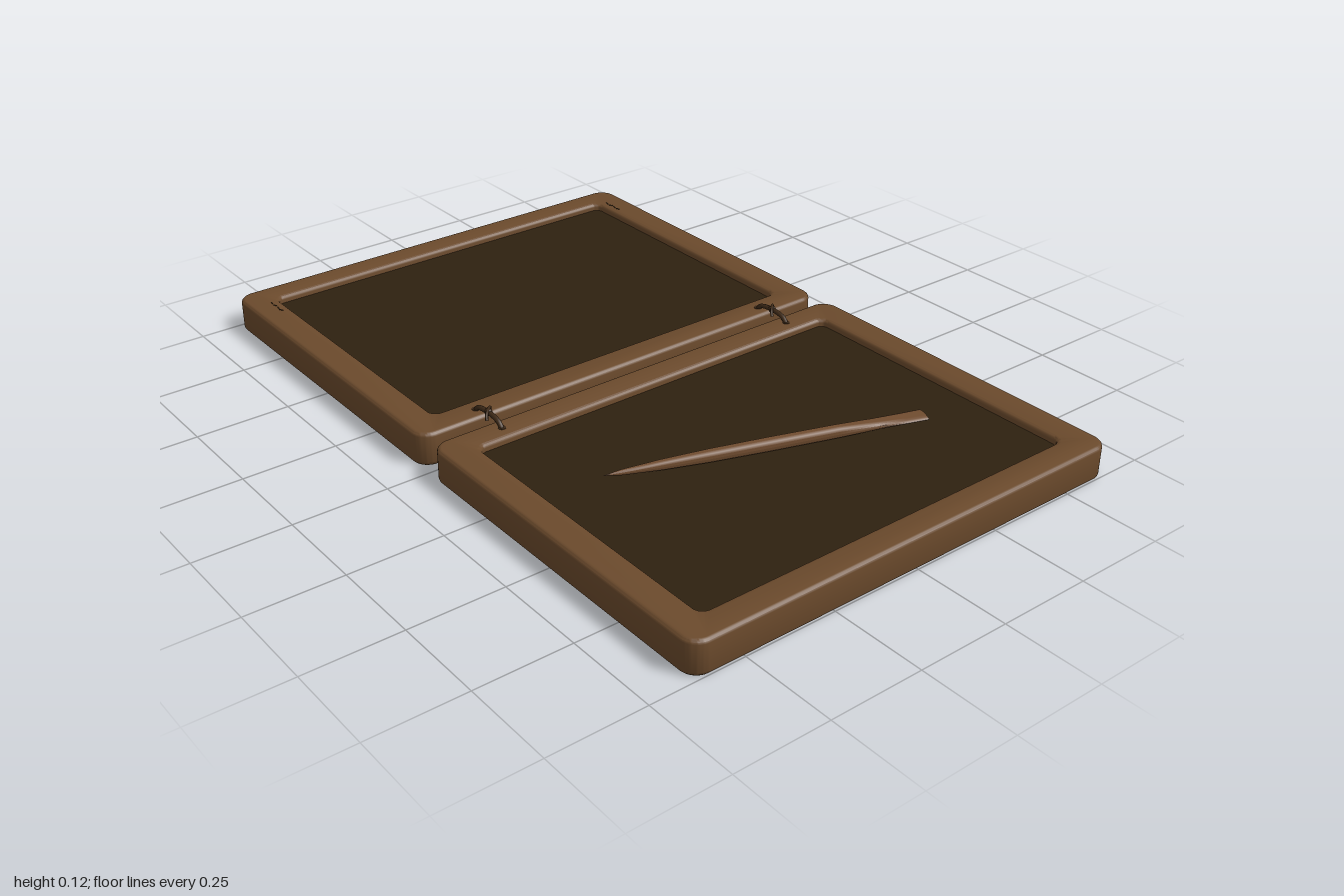
import * as THREE from 'three';
import { toCreasedNormals } from 'three/addons/utils/BufferGeometryUtils.js';

const material = (name, color) => new THREE.MeshStandardMaterial({ name, color });

// Rounded rectangle centred on the origin
function roundedRect(Path, w, h, r) {
  const p = new Path(), x = w / 2, y = h / 2;
  p.moveTo(-x + r, -y);
  p.lineTo(x - r, -y);
  p.absarc(x - r, -y + r, r, -Math.PI / 2, 0);
  p.lineTo(x, y - r);
  p.absarc(x - r, y - r, r, 0, Math.PI / 2);
  p.lineTo(-x + r, y);
  p.absarc(-x + r, y - r, r, Math.PI / 2, Math.PI);
  p.lineTo(-x, -y + r);
  p.absarc(-x + r, -y + r, r, Math.PI, Math.PI * 1.5);
  return p;
}

// Extrudes a shape upward from y0 to y1, with an optional inward bevel
function slab(shape, y0, y1, bevel = 0) {
  const geo = new THREE.ExtrudeGeometry(shape, {
    depth: y1 - y0 - 2 * bevel, curveSegments: 8, bevelEnabled: bevel > 0,
    bevelSize: bevel, bevelThickness: bevel, bevelOffset: -bevel, bevelSegments: 3,
  });
  geo.rotateX(-Math.PI / 2);
  geo.translate(0, y0 + bevel, 0);
  return toCreasedNormals(geo, 0.6);
}

export function createModel() {
  const wood = material('wood', 0x6b4a2c);
  const wax = material('dark wax', 0x2e2110);
  const cord = material('cord', 0x3e2a18);
  const bone = material('stylus wood', 0x704c2f);

  const model = new THREE.Group();
  model.name = 'foldingWritingTablet';
  const add = (parent, name, geo, mat) => {
    const mesh = new THREE.Mesh(geo, mat);
    mesh.name = name;
    parent.add(mesh);
    return mesh;
  };

  // Two framed leaves with recessed writing panels
  const W = 0.98, D = 1.28, H = 0.09, bevel = 0.01;
  const holeW = 0.82, holeD = 1.11;
  const frameShape = roundedRect(THREE.Shape, W, D, 0.045);
  frameShape.holes.push(roundedRect(THREE.Path, holeW, holeD, 0.022));
  const fill = roundedRect(THREE.Shape, holeW + 2 * bevel, holeD + 2 * bevel, 0.032);
  const frameGeo = slab(frameShape, 0, H, bevel);
  const backGeo = slab(fill, 0, 0.05);
  const waxGeo = slab(roundedRect(THREE.Shape, holeW + 0.004, holeD + 0.004, 0.022), 0.05, 0.07);
  for (const [side, sign] of [['left', 1], ['right', -1]]) {
    const leaf = new THREE.Group();
    leaf.name = side + 'Leaf';
    leaf.position.x = sign * 0.51;
    add(leaf, 'frame', frameGeo, wood);
    add(leaf, 'backPanel', backGeo, wood);
    add(leaf, 'waxPanel', waxGeo, wax);
    model.add(leaf);
  }

  // Small scratches on the right leaf's frame
  for (const z of [-0.577, 0.58]) {
    for (let i = 0; i < 4; i++) {
      const mark = add(model, 'scratch', new THREE.BoxGeometry(0.012, 0.002, 0.003), wax);
      mark.position.set(-0.9 + i * 0.018, H + 0.0005, z);
      mark.rotation.y = i % 2 ? 0.4 : -0.2;
    }
  }

  // Cord ties through both leaves, each with a small knot and drooping ends
  const tube = (points, radius, closed) => new THREE.TubeGeometry(
    new THREE.CatmullRomCurve3(points.map((p) => new THREE.Vector3(...p)), closed, 'centripetal'),
    closed ? 64 : 20, radius, 8, closed);
  const loopGeo = tube([
    [-0.058, 0.05, 0], [-0.056, 0.088, 0], [-0.042, 0.101, 0], [0, 0.107, 0],
    [0.042, 0.101, 0], [0.056, 0.088, 0], [0.058, 0.05, 0],
    [0.05, 0.016, 0], [0, 0.011, 0], [-0.05, 0.016, 0],
  ], 0.0065, true);
  const endsGeo = tube([
    [-0.022, 0.099, -0.019], [-0.014, 0.11, -0.014], [0, 0.115, 0],
    [0.014, 0.11, 0.014], [0.022, 0.099, 0.019],
  ], 0.004, false);
  for (const [place, z] of [['front', 0.46], ['back', -0.46]]) {
    const tie = new THREE.Group();
    tie.name = place + 'Tie';
    tie.position.z = z;
    add(tie, 'cordLoop', loopGeo, cord);
    add(tie, 'cordEnds', endsGeo, cord);
    const knot = add(tie, 'knot', new THREE.SphereGeometry(0.01, 12, 8), cord);
    knot.position.y = 0.108;
    for (const x of [-0.058, 0.058]) {
      const collar = add(tie, 'cordHole', new THREE.CylinderGeometry(0.01, 0.01, 0.003, 12), cord);
      collar.position.set(x, H, 0);
    }
    model.add(tie);
  }

  // Stylus: a tapered round shaft with a flattened, flared head
  const profile = [
    [0, -0.415], [0.016, -0.415], [0.016, -0.36], [0.016, -0.28], [0.017, -0.18],
    [0.0175, 0], [0.0165, 0.15], [0.013, 0.27], [0.007, 0.37], [0, 0.415],
  ].map(([r, y]) => new THREE.Vector2(r, y));
  const stylusGeo = new THREE.LatheGeometry(profile, 16);
  stylusGeo.rotateX(Math.PI / 2);
  const pos = stylusGeo.attributes.position;
  for (let i = 0; i < pos.count; i++) {
    const t = THREE.MathUtils.smoothstep(-pos.getZ(i), 0.18, 0.4);
    pos.setX(i, pos.getX(i) * (1 + 0.6 * t));
    pos.setY(i, pos.getY(i) * (1 - 0.65 * t));
  }
  const stylus = add(model, 'stylus', toCreasedNormals(stylusGeo, 0.7), bone);
  stylus.position.set(0.503, 0.085, 0);
  stylus.rotation.y = -0.312;

  return model;
}
